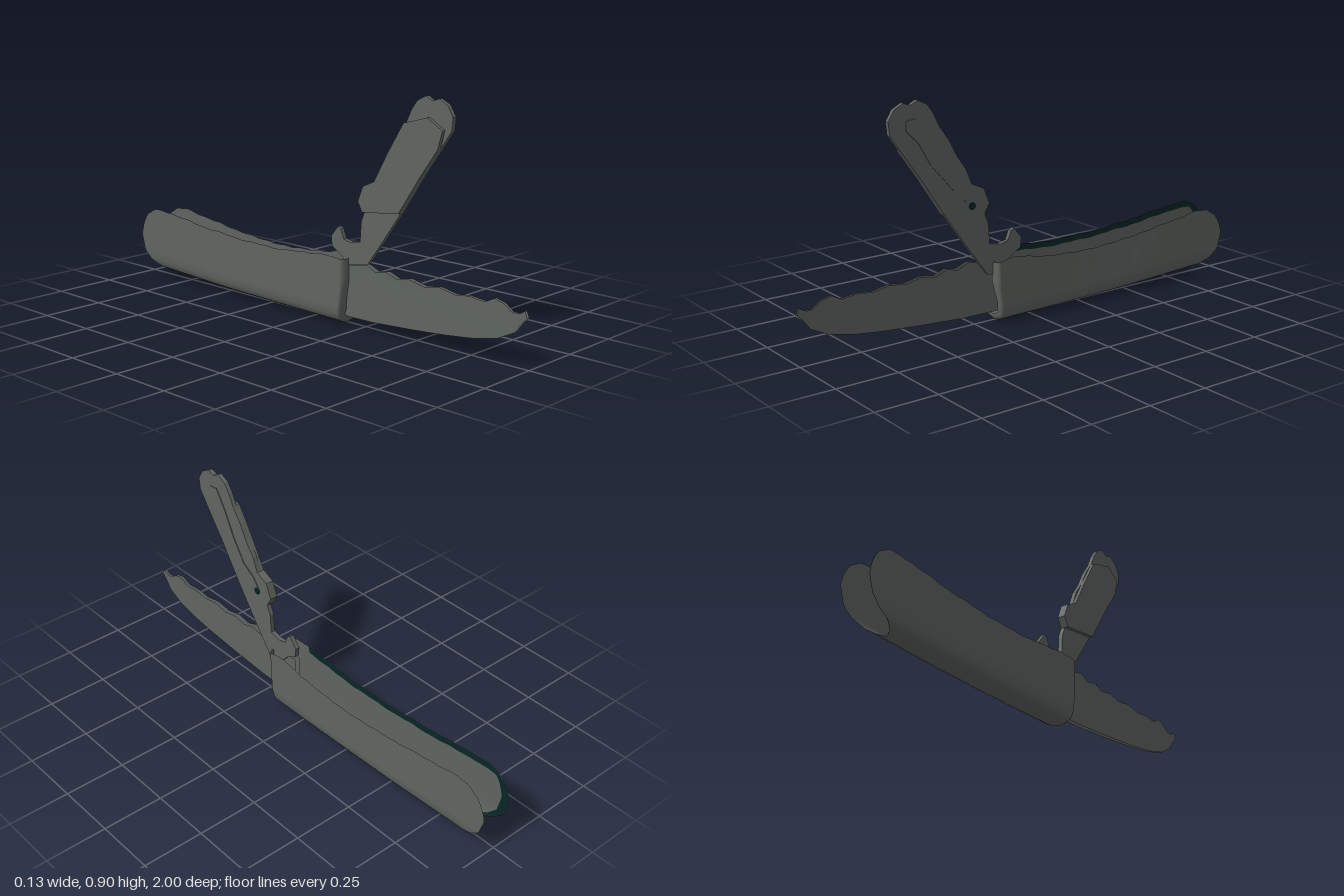
import * as THREE from 'three';

const steel = new THREE.MeshStandardMaterial({ color: 0x5f6561, side: THREE.DoubleSide });
steel.name = 'dull steel';
const dark = new THREE.MeshStandardMaterial({ color: 0x0a2626, side: THREE.DoubleSide });
dark.name = 'dark lining';

// Piecewise linear lookup through [key, value] pairs with rising keys
function lookup(table, k) {
  if (k <= table[0][0]) return table[0][1];
  for (let i = 1; i < table.length; i++) {
    const [a, va] = table[i - 1], [b, vb] = table[i];
    if (k <= b) return va + (vb - va) * (k - a) / (b - a);
  }
  return table[table.length - 1][1];
}

// Grid surface from a rule f(u, v) -> [x, y, z]
function surface(f, nu, nv) {
  const pos = [], index = [];
  for (let i = 0; i <= nu; i++)
    for (let j = 0; j <= nv; j++) pos.push(...f(i / nu, j / nv));
  for (let i = 0; i < nu; i++)
    for (let j = 0; j < nv; j++) {
      const a = i * (nv + 1) + j, b = a + nv + 1;
      index.push(a, b, a + 1, b, b + 1, a + 1);
    }
  const g = new THREE.BufferGeometry();
  g.setAttribute('position', new THREE.Float32BufferAttribute(pos, 3));
  g.setIndex(index);
  g.computeVertexNormals();
  return g;
}

// Handle: rim heights by z for each wall, rounded rear end by height fraction
const rimLeft = [[-1, 0.26], [-0.95, 0.275], [-0.85, 0.285], [-0.6, 0.25], [-0.4, 0.228], [-0.2, 0.222], [0, 0.24], [0.1, 0.26], [0.17, 0.25]];
const rimRight = [[-1, 0.27], [-0.95, 0.29], [-0.85, 0.295], [-0.6, 0.265], [-0.4, 0.25], [-0.2, 0.245], [0, 0.258], [0.1, 0.27], [0.17, 0.26]];
const rearEnd = [[0, -0.83], [0.06, -0.88], [0.15, -0.94], [0.3, -0.98], [0.6, -1], [0.8, -0.985], [0.92, -0.96], [1, -0.91]];
const halfWidth = [[0, 0], [0.025, 0.03], [0.07, 0.052], [0.14, 0.061], [0.25, 0.065], [1, 0.063]];

// side: +1 or -1, u: front to rear, s: floor to rim
function handlePoint(side, u, s, inset = 0) {
  const front = 0.15 + 0.02 * Math.min(1, s * 1.6);
  const z = front + (lookup(rearEnd, s) - front) * u;
  const ripple = 0.003 * Math.sin(z * 47) * Math.sin(z * 19 + side);
  const top = lookup(side > 0 ? rimLeft : rimRight, z) + ripple;
  const bottom = lookup([[-1, 0.03], [-0.85, 0.025], [-0.5, 0.012], [0.1, 0]], z);
  const y = bottom + s * (top - bottom);
  return [side * Math.max(0, lookup(halfWidth, s) - inset), y + inset * (1 - s), z];
}

// Front lip turns each wall and the floor inward
function lipPoint(side, t, s) {
  const [x, y, z] = handlePoint(side, 0, s);
  const bulge = 1 - Math.cos(t * Math.PI / 2);
  const depth = side > 0 ? 0.02 + 0.016 * Math.max(0, Math.sin((s - 0.3) * 4)) : 0.036;
  return [x - side * Math.min(Math.abs(x), depth) * bulge * Math.min(1, s * 8),
    y + 0.028 * bulge * (1 - s), z + 0.015 * Math.sin(t * Math.PI / 2)];
}

// Flat outline in (z, y) made into a plate whose left face lies at x
function plate(points, x, depth) {
  const shape = new THREE.Shape(points.map(p => new THREE.Vector2(...p)));
  const g = depth
    ? new THREE.ExtrudeGeometry(shape, { depth, bevelEnabled: false })
    : new THREE.ShapeGeometry(shape);
  return g.rotateY(-Math.PI / 2).translate(x, 0, 0);
}

export function createModel() {
  const model = new THREE.Group();
  const add = (name, geometry, material, parent = model) => {
    const mesh = new THREE.Mesh(geometry, material);
    mesh.name = name;
    parent.add(mesh);
    return mesh;
  };

  // Open channel handle with its front lip
  const handle = new THREE.Group();
  handle.name = 'handle';
  model.add(handle);
  // v runs from the right rim under the floor to the left rim
  const across = (rule) => (u, v) => {
    const t = v * 2 - 1;
    return rule(t < 0 ? -1 : 1, u, Math.pow(Math.abs(t), 1.8));
  };
  add('handleShell', surface(across(handlePoint), 70, 44), steel, handle);
  add('handleFrontLip', surface(across(lipPoint), 6, 44), steel, handle);

  // Dark lining along the inside of the right rim and around its rear end
  add('rimLining', surface((u, v) => handlePoint(-1, 0.08 + 0.92 * u, 0.9 + 0.1 * v, 0.002), 60, 2), dark, handle);
  add('rearLining', surface((u, v) => handlePoint(-1, 0.97 + 0.03 * u, v * v, 0.002), 3, 20), dark, handle);

  // Main blade: two thin cheeks with a worn spine, closing toward the tip
  const blade = [[0.1, 0.03], [0.3, 0.033], [0.5, 0.045], [0.65, 0.057], [0.78, 0.072], [0.88, 0.095],
    [0.95, 0.13], [0.975, 0.165], [1, 0.19], [0.99, 0.215], [0.965, 0.2], [0.935, 0.2], [0.9, 0.225],
    [0.86, 0.235], [0.82, 0.215], [0.75, 0.222], [0.69, 0.215], [0.62, 0.228], [0.55, 0.218], [0.48, 0.232],
    [0.42, 0.222], [0.37, 0.24], [0.32, 0.23], [0.27, 0.25], [0.2, 0.235], [0.1, 0.22]];
  for (const [name, x, lean] of [['bladeLeftCheek', -0.004, -0.003], ['bladeRightCheek', -0.025, 0.007]]) {
    const g = plate(blade, x, 0);
    const p = g.attributes.position;
    for (let i = 0; i < p.count; i++)
      p.setX(i, x + lean * THREE.MathUtils.smoothstep(p.getZ(i), 0.3, 1));
    g.computeVertexNormals();
    add(name, g, steel);
  }

  // Raised second blade: slim full-length plate with a thicker upper body
  const raised = new THREE.Group();
  raised.name = 'raisedBlade';
  model.add(raised);
  const raisedOutline = [[0.16, 0.19], [0.21, 0.2], [0.3, 0.32], [0.4, 0.46], [0.5, 0.61], [0.58, 0.72], [0.63, 0.79],
    [0.635, 0.84], [0.61, 0.88], [0.57, 0.9], [0.54, 0.89], [0.51, 0.905], [0.47, 0.885], [0.445, 0.85],
    [0.42, 0.8], [0.38, 0.745], [0.345, 0.68], [0.305, 0.625], [0.28, 0.565], [0.225, 0.54], [0.2, 0.48],
    [0.222, 0.44], [0.205, 0.4], [0.2, 0.32], [0.15, 0.31], [0.115, 0.318], [0.1, 0.355], [0.085, 0.362],
    [0.05, 0.32], [0.055, 0.28], [0.1, 0.255]];
  add('raisedBladeCore', plate(raisedOutline, 0.035, 0.018), steel, raised);
  const body = [[0.4, 0.46], [0.5, 0.61], [0.58, 0.72], [0.6, 0.79], [0.53, 0.83], [0.42, 0.8], [0.345, 0.68],
    [0.28, 0.565], [0.225, 0.54], [0.2, 0.48], [0.222, 0.44]];
  add('raisedBladeBody', plate(body, 0.018, 0.016), steel, raised);

  // Thin inset panel and pin hole on the left face
  const panel = [[0.27, 0.49], [0.3, 0.53], [0.36, 0.57], [0.42, 0.66], [0.47, 0.76], [0.52, 0.84], [0.56, 0.835],
    [0.565, 0.8], [0.51, 0.745], [0.46, 0.66], [0.37, 0.56], [0.31, 0.5]];
  add('raisedBladePanel', plate(panel, 0.038, 0.003), steel, raised);
  const pin = new THREE.CylinderGeometry(0.014, 0.014, 0.004, 12).rotateZ(Math.PI / 2);
  add('pinHole', pin, dark, raised).position.set(0.038, 0.48, 0.28);

  return model;
}
